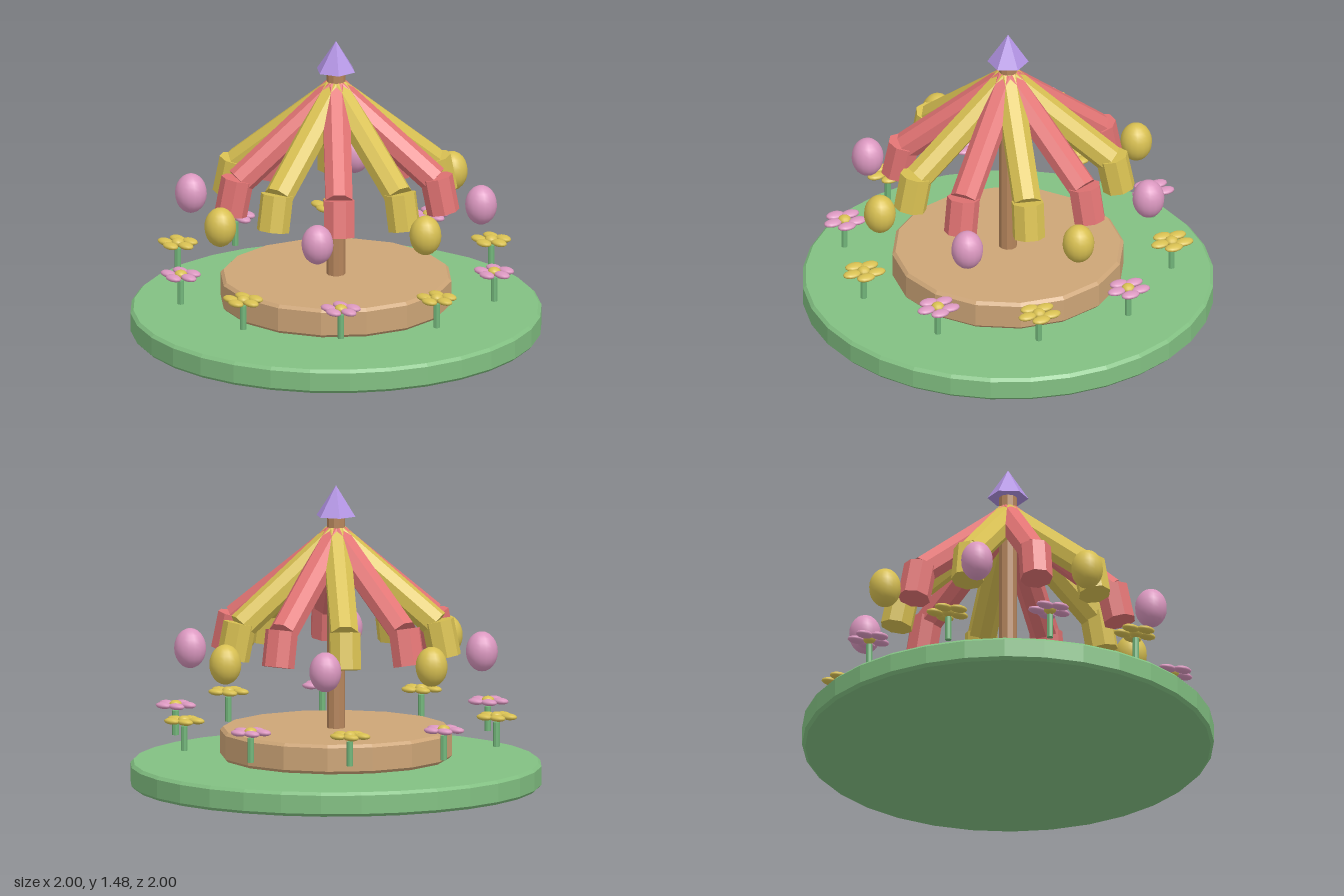
import * as THREE from 'three';

const mat = (name, color) => {
  const m = new THREE.MeshStandardMaterial({ color });
  m.name = name;
  return m;
};

// Gives every face its own normal for a faceted look
function faceted(geometry) {
  const g = geometry.toNonIndexed();
  g.computeVertexNormals();
  return g;
}

// Closed disc with a small bevel on both rims
function bevelledDisc(radius, height, bevel, sides) {
  const profile = [
    [0, 0], [radius - bevel, 0], [radius, bevel],
    [radius, height - bevel], [radius - bevel, height], [0, height],
  ].map(([x, y]) => new THREE.Vector2(x, y));
  return faceted(new THREE.LatheGeometry(profile, sides));
}

export function createModel() {
  const green = mat('grass green', 0x82c082);
  const stemGreen = mat('stem green', 0x72b57a);
  const tan = mat('light wood', 0xcda577);
  const brown = mat('pole wood', 0xb5855c);
  const red = mat('coral red', 0xe27474);
  const yellow = mat('warm yellow', 0xd8c052);
  const pink = mat('soft pink', 0xdb98c0);
  const purple = mat('lilac', 0xb192e2);

  const model = new THREE.Group();
  model.name = 'carousel';
  const add = (parent, name, geometry, material, x = 0, y = 0, z = 0) => {
    const mesh = new THREE.Mesh(geometry, material);
    mesh.name = name;
    mesh.position.set(x, y, z);
    parent.add(mesh);
    return mesh;
  };
  // Group turned around the y axis, so its local +x points outward
  const spoke = (name, angle) => {
    const group = new THREE.Group();
    group.name = name;
    group.rotation.y = angle;
    model.add(group);
    return group;
  };

  // Ground, platform, pole and pointed top
  add(model, 'groundDisc', bevelledDisc(1, 0.12, 0.015, 32), green);
  add(model, 'platform', bevelledDisc(0.565, 0.145, 0.015, 16), tan, 0, 0.14);
  add(model, 'pole', faceted(new THREE.CylinderGeometry(0.045, 0.045, 1.05, 10)), brown, 0, 0.805);
  add(model, 'topCone', faceted(new THREE.ConeGeometry(0.1, 0.15, 6)), purple, 0, 1.4);

  // Ten sloping arms, each with a hanging end piece
  const armTop = new THREE.Vector2(0, 1.22);
  const armEnd = new THREE.Vector2(0.497, 0.812);
  const armMid = armTop.clone().add(armEnd).multiplyScalar(0.5);
  const armTilt = Math.atan2(armEnd.x - armTop.x, armTop.y - armEnd.y);
  const tube = (r, length) =>
    faceted(new THREE.CylinderGeometry(r, r, length, 8).rotateY(Math.PI / 8));
  const armGeometry = tube(0.071, armTop.distanceTo(armEnd));
  const endGeometry = tube(0.08, 0.18);
  for (let i = 0; i < 10; i++) {
    const arm = spoke('canopyArm', (i * Math.PI) / 5);
    const color = i % 2 ? red : yellow;
    add(arm, 'armTube', armGeometry, color, armMid.x, armMid.y).rotation.z = armTilt;
    add(arm, 'armEnd', endGeometry, color, 0.525, 0.74).rotation.z = 0.2;
  }

  // Eight floating balloons
  const balloon = new THREE.SphereGeometry(1, 16, 12).scale(0.078, 0.098, 0.078);
  for (let i = 0; i < 8; i++) {
    const a = (i * Math.PI) / 4;
    add(model, 'balloon', balloon, i % 2 ? pink : yellow,
      0.71 * Math.cos(a), 0.667, -0.71 * Math.sin(a));
  }

  // Ten five-petalled flowers around the rim
  const stem = faceted(new THREE.CylinderGeometry(0.016, 0.016, 0.12, 8));
  const petal = new THREE.SphereGeometry(1, 12, 8).scale(0.048, 0.016, 0.031);
  const heart = new THREE.SphereGeometry(1, 12, 8).scale(0.032, 0.022, 0.032);
  for (let i = 0; i < 10; i++) {
    const a = (i * Math.PI) / 5;
    const flower = new THREE.Group();
    flower.name = 'flower';
    flower.position.set(0.8 * Math.cos(a), 0, -0.8 * Math.sin(a));
    model.add(flower);
    add(flower, 'stem', stem, stemGreen, 0, 0.28);
    add(flower, 'flowerCentre', heart, yellow, 0, 0.37);
    for (let p = 0; p < 5; p++) {
      const b = (p * Math.PI * 2) / 5;
      add(flower, 'petal', petal, i % 2 ? pink : yellow,
        0.063 * Math.cos(b), 0.368, 0.063 * Math.sin(b));
    }
  }
  return model;
}
